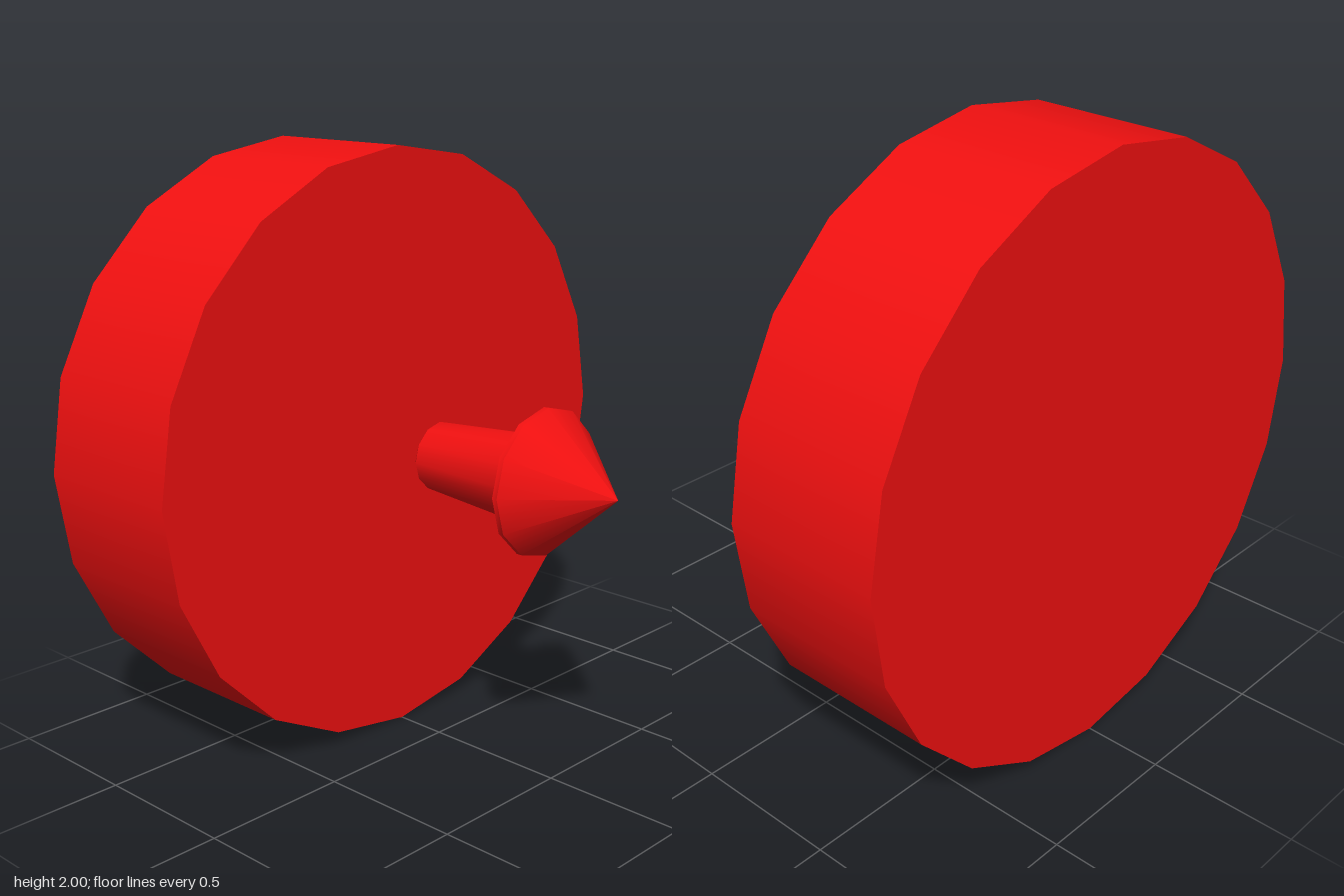
import * as THREE from 'three';
import { toCreasedNormals } from 'three/addons/utils/BufferGeometryUtils.js';

const CENTRE_Y = 1;

export function createModel() {
  const model = new THREE.Group();
  const red = new THREE.MeshStandardMaterial({ color: 0xf01010 });

  // Adds a part whose own axis (y) is turned to point forward along z.
  const addPart = (name, geometry) => {
    geometry.rotateX(Math.PI / 2);
    const mesh = new THREE.Mesh(geometry, red);
    mesh.name = name;
    mesh.position.y = CENTRE_Y;
    model.add(mesh);
    return mesh;
  };

  // Large twenty-sided disc at the back
  const disc = addPart('disc', new THREE.CylinderGeometry(1, 1, 0.555, 20));
  disc.position.z = -0.4575;

  // Floating pin: tapered shaft, flared collar and pointed head, as [radius, z]
  const profile = [
    [0, -0.007], [0.105, -0.007], [0.115, 0.003],
    [0.147, 0.425], [0.24, 0.442], [0.24, 0.46], [0, 0.735],
  ].map(([r, z]) => new THREE.Vector2(r, z));
  const pin = new THREE.LatheGeometry(profile, 12);
  addPart('pin', toCreasedNormals(pin, THREE.MathUtils.degToRad(35)));

  return model;
}
